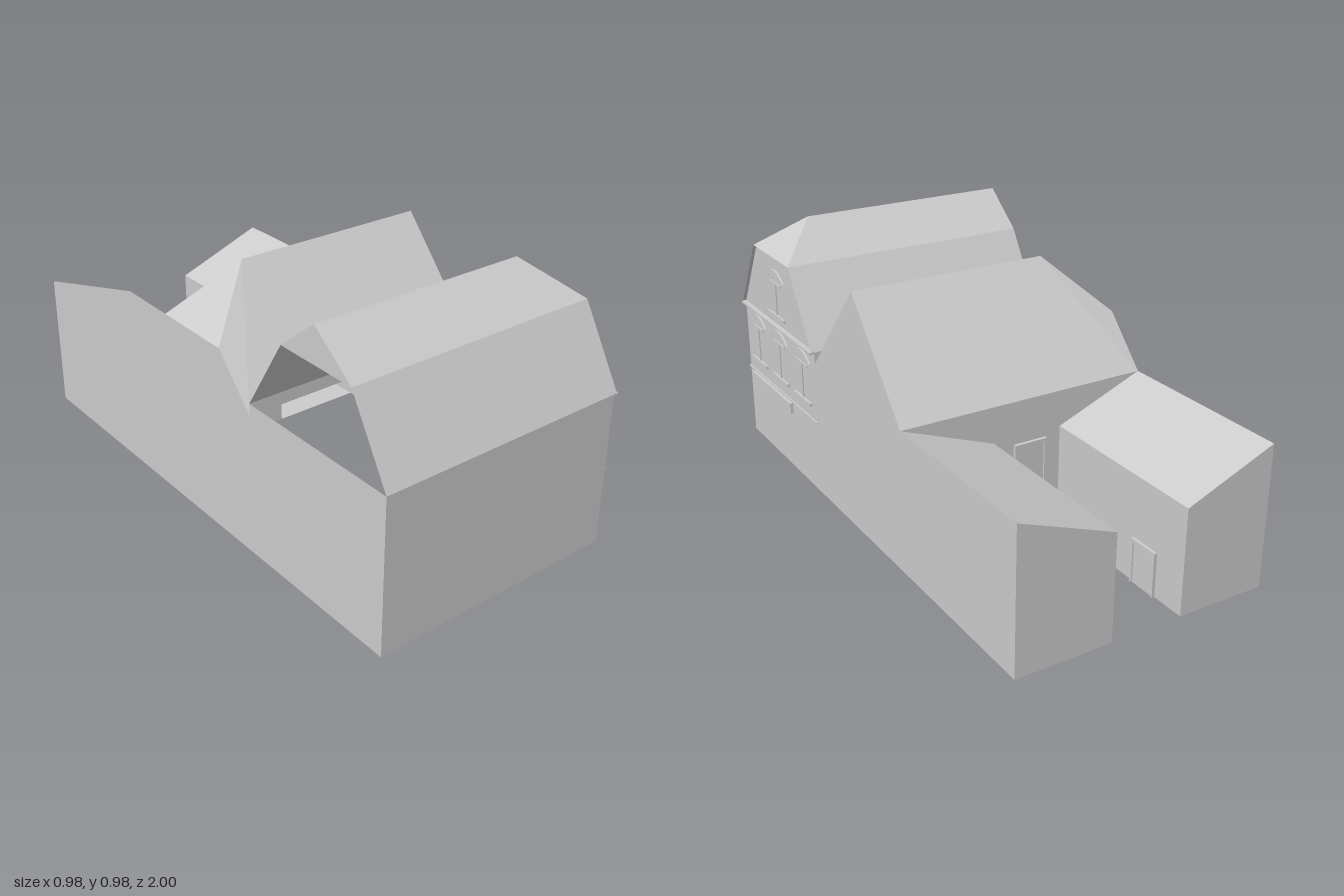
import * as THREE from 'three';

const L = -0.49, R = 0.47;            // side walls
const IL = -0.155, IR = 0.115;        // courtyard walls
const EAVE = 0.525, LOW = 0.39, TOP = 0.57, BREAK = 0.845, RIDGE = 0.975;
const BACK = -0.315, MID = 0.34;      // back wall of middle house, joint with front house

export function createModel() {
  const model = new THREE.Group();
  const grey = new THREE.MeshStandardMaterial({ color: 0xcccccc, side: THREE.DoubleSide });
  grey.name = 'plain grey';

  function add(name, geometry, x = 0, y = 0, z = 0) {
    const mesh = new THREE.Mesh(geometry, grey);
    mesh.name = name;
    mesh.position.set(x, y, z);
    model.add(mesh);
    return mesh;
  }

  // Flat convex panels, corners counter-clockwise from outside
  function panels(name, polys) {
    const pos = [];
    for (const p of polys)
      for (let i = 1; i < p.length - 1; i++) pos.push(...p[0], ...p[i], ...p[i + 1]);
    const g = new THREE.BufferGeometry();
    g.setAttribute('position', new THREE.Float32BufferAttribute(pos, 3));
    g.computeVertexNormals();
    return add(name, g);
  }

  // Panel in a plane of constant x from [z, y] corners; side gives the facing
  const end = (x, zy, side) => {
    const p = zy.map(([z, y]) => [x, y, z]);
    return side > 0 ? p : p.reverse();
  };
  const rect = (z0, z1, y0, y1) => [[z1, y0], [z0, y0], [z0, y1], [z1, y1]];

  // Outer walls
  panels('frontWall', [[[L, 0, 1], [R, 0, 1], [R, TOP, 1], [L, TOP, 1]]]);
  for (const [name, x, s] of [['leftWall', R, 1], ['rightWall', L, -1]])
    panels(name, [
      end(x, rect(-1, 1, 0, EAVE), s),
      end(x, rect(MID, 1, EAVE, TOP), s),
    ]);
  panels('frontHouseBackStrip', [[[R, EAVE, MID], [L, EAVE, MID], [L, TOP, MID], [R, TOP, MID]]]);

  // Front house: two-pitch roof, clipped on the facade end
  const RX = 0.483, HX = 0.325;
  panels('frontRoof', [
    [[L, TOP, MID], [L, BREAK, 0.51], [RX, BREAK, 0.51], [RX, TOP, MID]],
    [[L, BREAK, 0.51], [L, RIDGE, 0.67], [HX, RIDGE, 0.67], [RX, BREAK, 0.51]],
    [[L, RIDGE, 0.67], [L, BREAK, 0.84], [RX, BREAK, 0.84], [HX, RIDGE, 0.67]],
    [[L, BREAK, 0.84], [L, TOP, 1], [RX, TOP, 1], [RX, BREAK, 0.84]],
    [[RX, BREAK, 0.84], [RX, BREAK, 0.51], [HX, RIDGE, 0.67]],
  ]);
  panels('frontGable', [
    end(R, [[1, TOP], [MID, TOP], [0.51, BREAK], [0.84, BREAK]], 1),
    end(L, [[0.84, BREAK], [0.51, BREAK], [0.67, RIDGE]], -1),
  ]);

  // Middle house: steep roof with a half hip on one end
  const MR = 0.9, MZ = 0.01, HY = 0.7, Z0 = -0.15, Z1 = 0.175, MH = -0.28;
  panels('middleRoof', [
    [[L, EAVE, BACK], [L, HY, Z0], [MH, MR, MZ], [R, MR, MZ], [R, EAVE, BACK]],
    [[MH, MR, MZ], [L, HY, Z1], [L, EAVE, MID], [R, EAVE, MID], [R, MR, MZ]],
    [[L, HY, Z0], [L, HY, Z1], [MH, MR, MZ]],
  ]);
  panels('middleGables', [
    end(R, [[MID, EAVE], [BACK, EAVE], [MZ, MR]], 1),
    end(L, [[MID, EAVE], [BACK, EAVE], [Z0, HY], [Z1, HY]], -1),
  ]);
  panels('middleBackWall', [
    [[IR, 0, BACK], [IL, 0, BACK], [IL, EAVE, BACK], [IR, EAVE, BACK]],
    [[IL, EAVE, BACK], [IL, LOW, BACK], [L, EAVE, BACK]],
    [[R, EAVE, BACK], [IR, LOW, BACK], [IR, EAVE, BACK]],
  ]);

  // Rear wings with roofs falling to the courtyard
  for (const [name, xo, xi, s] of [['leftWing', R, IR, 1], ['rightWing', L, IL, -1]]) {
    const wing = [
      [[xi, LOW, BACK], [xo, EAVE, BACK], [xo, EAVE, -1], [xi, LOW, -1]],
      [[xo, 0, -1], [xi, 0, -1], [xi, LOW, -1], [xo, EAVE, -1]],
    ];
    panels(name, [
      ...wing.map(p => (s > 0 ? p : p.reverse())),
      end(xi, rect(-1, BACK, 0, LOW), -s),
    ]);
    // Courtyard door with a thin frame
    const z = -0.81, x = xi - s * 0.003;
    add(name + 'Door', new THREE.BoxGeometry(0.006, 0.155, 0.1), x, 0.0775, z);
    for (const d of [-0.055, 0.055])
      add(name + 'DoorPost', new THREE.BoxGeometry(0.016, 0.165, 0.01), x, 0.0825, z + d);
    add(name + 'DoorLintel', new THREE.BoxGeometry(0.016, 0.01, 0.12), x, 0.16, z);
  }
  panels('leftWingFloor', [[[IR, 0, -1], [R, 0, -1], [R, 0, BACK], [IR, 0, BACK]]]);

  // Door in the middle house
  add('rearDoor', new THREE.BoxGeometry(0.11, 0.355, 0.006), -0.03, 0.1775, BACK - 0.003);
  for (const x of [-0.09, 0.03])
    add('rearDoorPost', new THREE.BoxGeometry(0.01, 0.36, 0.014), x, 0.18, BACK - 0.005);
  add('rearDoorLintel', new THREE.BoxGeometry(0.13, 0.01, 0.014), -0.03, 0.36, BACK - 0.005);

  // Facade windows: crescent hood, T-shaped bars, sill
  const hood = new THREE.Shape();
  hood.moveTo(-0.08, 0);
  hood.quadraticCurveTo(0, 0.07, 0.08, 0);
  hood.lineTo(0.06, 0);
  hood.quadraticCurveTo(0, 0.03, -0.06, 0);
  const hoodGeo = new THREE.ExtrudeGeometry(hood, { depth: 0.008, bevelEnabled: false, curveSegments: 8 });
  hoodGeo.rotateY(Math.PI / 2);
  function facadeWindow(z, sill, top) {
    const bar = top - 0.05, h = bar - sill;
    add('windowHood', hoodGeo, R, top - 0.03, z);
    add('windowMullion', new THREE.BoxGeometry(0.005, h, 0.008), R + 0.002, sill + h / 2, z);
    add('windowTransom', new THREE.BoxGeometry(0.005, 0.008, 0.1), R + 0.002, bar, z);
    add('windowSill', new THREE.BoxGeometry(0.01, 0.012, 0.15), R + 0.004, sill, z);
  }
  for (const z of [0.46, 0.67, 0.88]) facadeWindow(z, 0.345, 0.54);
  facadeWindow(0.67, 0.605, 0.785);

  // Cornice, string course and sign board
  add('cornice', new THREE.BoxGeometry(0.02, 0.008, 0.66), R + 0.009, 0.567, 0.67);
  add('stringCourse', new THREE.BoxGeometry(0.006, 0.006, 0.66), R + 0.003, 0.288, 0.67);
  add('signBoard', new THREE.BoxGeometry(0.01, 0.045, 0.37), R + 0.005, 0.258, 0.76);
  add('signLedge', new THREE.BoxGeometry(0.016, 0.01, 0.38), R + 0.007, 0.277, 0.76);

  return model;
}
